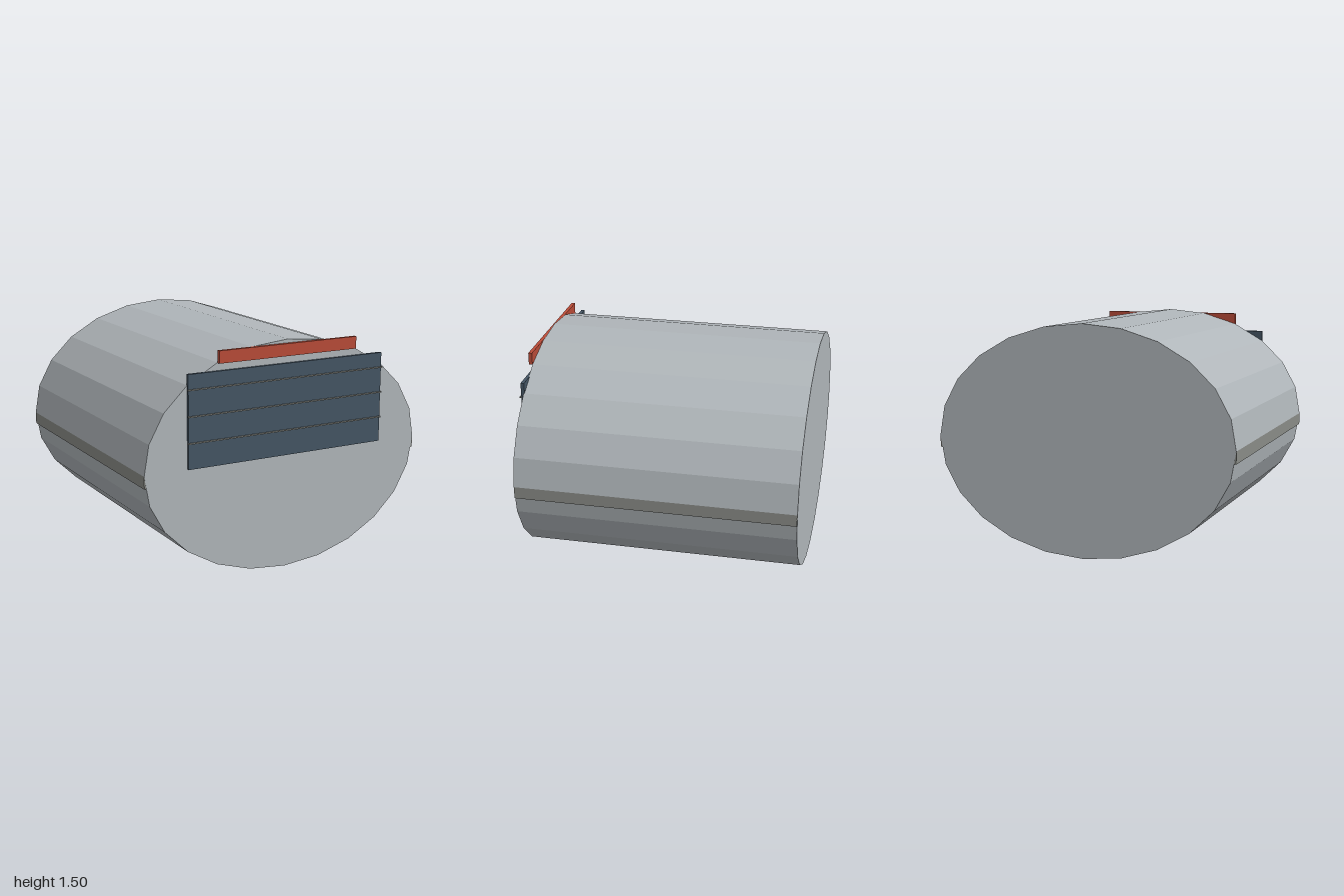
import * as THREE from 'three';

const mat = (name, color, flatShading = false) => {
  const m = new THREE.MeshStandardMaterial({ color, flatShading });
  m.name = name;
  return m;
};

export function createModel() {
  const group = new THREE.Group();
  group.name = 'ovalHangar';
  const shellGrey = mat('shellGrey', 0xb0b6ba, true);
  const trimGrey = mat('trimGrey', 0x8a8c87);
  const doorBlue = mat('doorBlue', 0x445564);
  const signRed = mat('signRed', 0xb94b38);

  const add = (name, geometry, material) => {
    const mesh = new THREE.Mesh(geometry, material);
    mesh.name = name;
    group.add(mesh);
    return mesh;
  };
  // Box given by its width and its y and z ranges, centred on x
  const slab = (name, width, y0, y1, z0, z1, material) =>
    add(name, new THREE.BoxGeometry(width, y1 - y0, z1 - z0), material)
      .position.set(0, (y0 + y1) / 2, (z0 + z1) / 2);

  // Faceted oval shell lying along z, with closed ends
  const back = -0.926, front = 0.9;
  const shell = new THREE.CylinderGeometry(1, 1, front - back, 24);
  shell.rotateX(Math.PI / 2);
  shell.scale(1, 0.75, 1);
  shell.translate(0, 0.75, (front + back) / 2);
  add('shell', shell, shellGrey);

  // Base band showing as a narrow ledge along both sides
  slab('sideBand', 2, 0.67, 0.75, back + 0.001, front - 0.001, trimGrey);

  // Front door with three thin ribs
  slab('door', 1.416, 0.755, 1.35, 0.894, 0.917, doorBlue);
  for (const y of [0.92, 1.087, 1.253]) {
    slab('doorRib', 1.426, y - 0.004, y + 0.004, 0.912, 0.926, trimGrey);
  }

  // Sign board above the door
  slab('signBoard', 1, 1.397, 1.476, 0.902, 0.926, signRed);

  return group;
}
